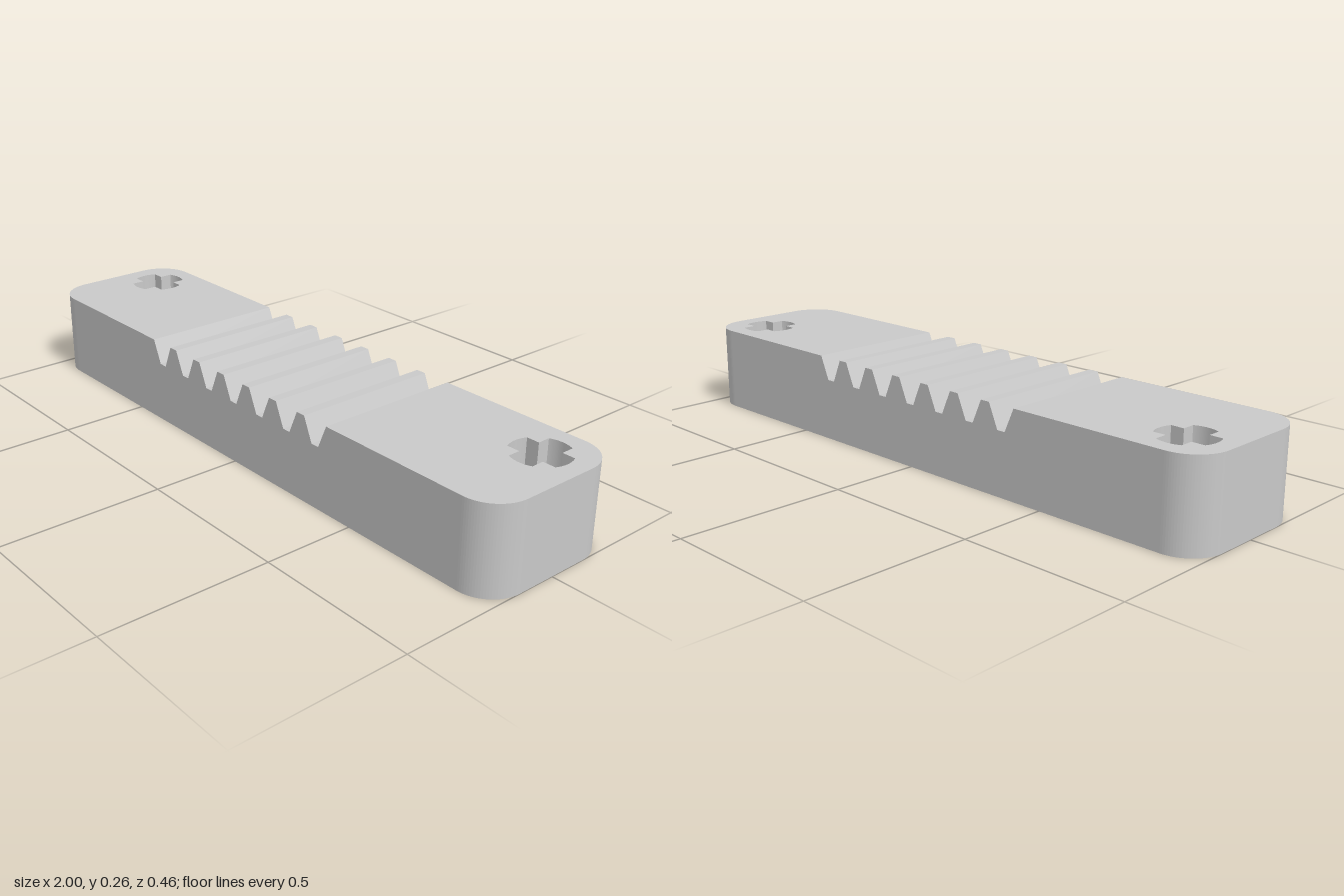
import * as THREE from 'three';

const HEIGHT = 0.262, HALF_DEPTH = 0.228, CORNER = 0.108;
const SEAM = 0.42; // where the plain ends meet the toothed middle

// Drop the hidden walls at the seams so that the bar is one closed skin
function openSeams(geometry) {
  const p = geometry.attributes.position;
  const kept = [];
  for (let i = 0; i < p.count; i += 3) {
    const hidden = [-SEAM, SEAM].some((seam) =>
      [0, 1, 2].every((k) => Math.abs(p.getX(i + k) - seam) < 1e-4));
    if (hidden) continue;
    for (let k = 0; k < 3; k++) kept.push(p.getX(i + k), p.getY(i + k), p.getZ(i + k));
  }
  const open = new THREE.BufferGeometry();
  open.setAttribute('position', new THREE.Float32BufferAttribute(kept, 3));
  open.computeVertexNormals(); // unshared corners give flat facets
  return open;
}

// Cross-shaped hole whose four arms end in arcs of one circle
function crossHole(cx, cy) {
  const radius = 0.086, arm = 0.038;
  const spread = Math.asin(arm / radius);
  const hole = new THREE.Path();
  for (let i = 0; i < 4; i++) {
    const a = i * Math.PI / 2;
    const inner = a + Math.PI / 4; // inner corner after this arm
    hole.absarc(cx, cy, radius, a - spread, a + spread, false);
    hole.lineTo(cx + Math.SQRT2 * arm * Math.cos(inner), cy + Math.SQRT2 * arm * Math.sin(inner));
  }
  hole.closePath();
  return hole;
}

// Plain end with two rounded corners and a cross hole near the back edge
function endGeometry(side) {
  const plan = new THREE.Shape();
  plan.moveTo(SEAM, -HALF_DEPTH);
  plan.lineTo(1 - CORNER, -HALF_DEPTH);
  plan.absarc(1 - CORNER, -HALF_DEPTH + CORNER, CORNER, -Math.PI / 2, 0, false);
  plan.absarc(1 - CORNER, HALF_DEPTH - CORNER, CORNER, 0, Math.PI / 2, false);
  plan.lineTo(SEAM, HALF_DEPTH);
  plan.closePath();
  plan.holes.push(crossHole(0.861, side * 0.091));
  const g = new THREE.ExtrudeGeometry(plan, { depth: HEIGHT, bevelEnabled: false, curveSegments: 12 });
  g.rotateX(-Math.PI / 2);
  if (side < 0) g.rotateY(Math.PI);
  return openSeams(g);
}

// Toothed middle: seven V grooves with narrow flat floors
function teethGeometry() {
  const pitch = 0.1203, topHalf = 0.045, floorHalf = 0.0135, floorY = 0.19;
  const profile = new THREE.Shape();
  profile.moveTo(SEAM, 0);
  profile.lineTo(SEAM, HEIGHT);
  for (let i = 3; i >= -3; i--) {
    const x = i * pitch;
    profile.lineTo(x + topHalf, HEIGHT);
    profile.lineTo(x + floorHalf, floorY);
    profile.lineTo(x - floorHalf, floorY);
    profile.lineTo(x - topHalf, HEIGHT);
  }
  profile.lineTo(-SEAM, HEIGHT);
  profile.lineTo(-SEAM, 0);
  profile.closePath();
  const g = new THREE.ExtrudeGeometry(profile, { depth: 2 * HALF_DEPTH, bevelEnabled: false });
  g.translate(0, 0, -HALF_DEPTH);
  return openSeams(g);
}

export function createModel() {
  const grey = new THREE.MeshStandardMaterial({ color: 0xc9c9c9 });
  grey.name = 'grey';
  const model = new THREE.Group();
  model.name = 'gearRack';
  const add = (name, geometry) => {
    const mesh = new THREE.Mesh(geometry, grey);
    mesh.name = name;
    model.add(mesh);
  };
  add('toothedMiddle', teethGeometry());
  add('leftEnd', endGeometry(1));
  add('rightEnd', endGeometry(-1));
  return model;
}
